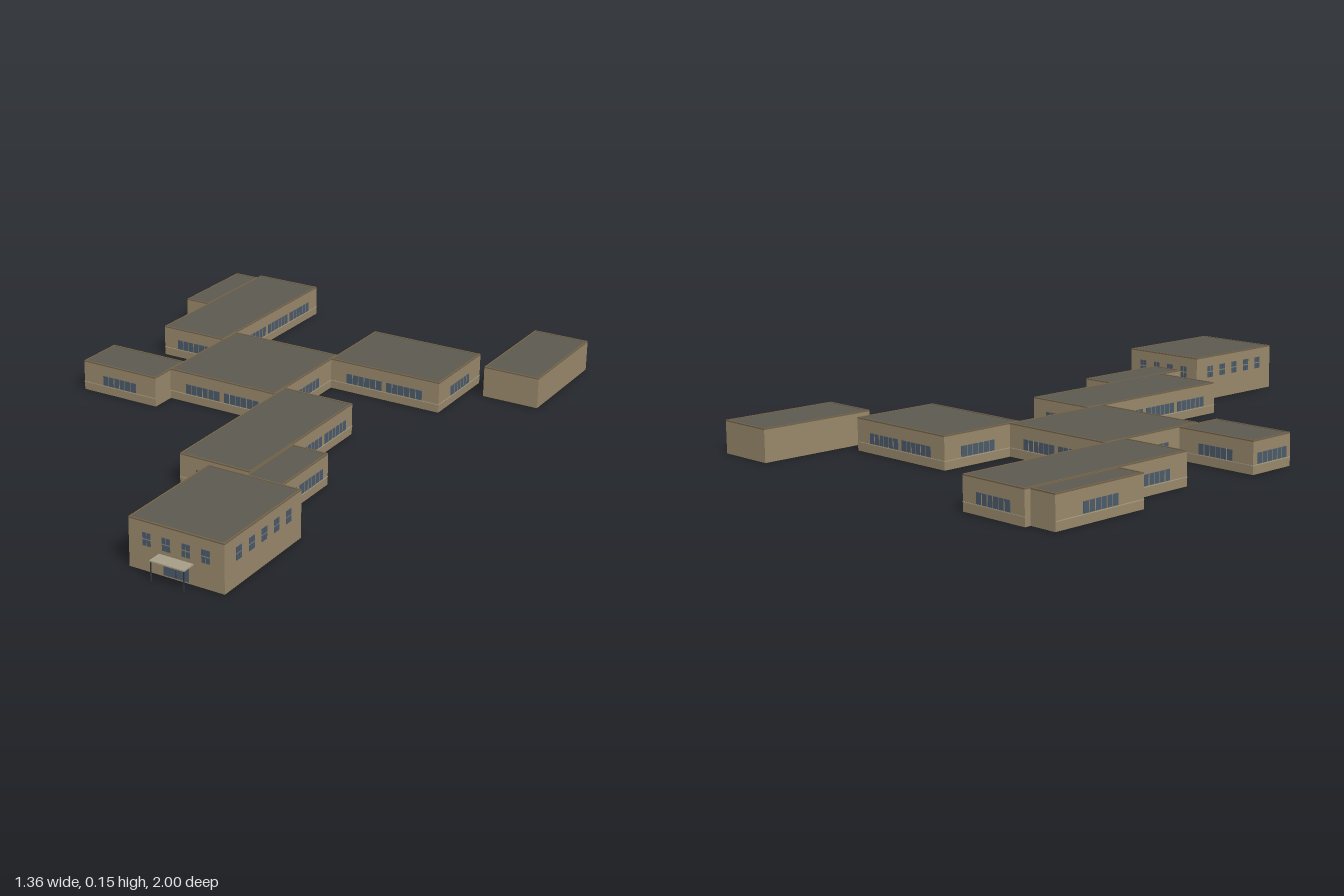
import * as THREE from 'three';

const mat = (name, color, side = THREE.FrontSide) => {
  const m = new THREE.MeshStandardMaterial({ color, side });
  m.name = name;
  return m;
};

export function createModel() {
  const wallMat = mat('tan wall', 0x9a8a6c, THREE.DoubleSide);
  const roofMat = mat('dark roof', 0x5c5a50);
  const copingMat = mat('brown coping', 0x75644a);
  const glassMat = mat('blue glass', 0x4c5b6c);
  const trimMat = mat('light trim', 0xa89f88);
  const darkMat = mat('dark metal', 0x35363a);

  const model = new THREE.Group();
  model.name = 'buildingComplex';

  const box = (parent, name, material, w, h, d, x, y, z) => {
    const m = new THREE.Mesh(new THREE.BoxGeometry(w, h, d), material);
    m.name = name;
    m.position.set(x, y, z);
    parent.add(m);
    return m;
  };

  // Rectangular ring with an open middle, rising from y = 0
  const ring = (w, d, t, h) => {
    const rect = (Kind, a, b) => {
      const s = new Kind();
      s.moveTo(-a, -b).lineTo(a, -b).lineTo(a, b).lineTo(-a, b).closePath();
      return s;
    };
    const shape = rect(THREE.Shape, w / 2, d / 2);
    shape.holes.push(rect(THREE.Path, w / 2 - t, d / 2 - t));
    return new THREE.ExtrudeGeometry(shape, { depth: h, bevelEnabled: false }).rotateX(-Math.PI / 2);
  };

  // Block: walls open below, roof set inside a coping
  const block = (name, x0, x1, z0, z1, h) => {
    const g = new THREE.Group();
    g.name = name;
    g.position.set((x0 + x1) / 2, 0, (z0 + z1) / 2);
    const w = x1 - x0, d = z1 - z0;
    const walls = new THREE.Mesh(ring(w, d, 0.004, h - 0.004), wallMat);
    walls.name = 'walls';
    const coping = new THREE.Mesh(ring(w, d, 0.005, 0.004), copingMat);
    coping.name = 'coping';
    coping.position.y = h - 0.004;
    g.add(walls, coping);
    box(g, 'roof', roofMat, w - 0.009, 0.006, d - 0.009, 0, h - 0.005, 0);
    model.add(g);
  };

  // Group on a wall: local x runs along it and local z points outward
  const turns = { '+z': 0, '+x': Math.PI / 2, '-z': Math.PI, '-x': -Math.PI / 2 };
  const face = (name, side, plane, a, b) => {
    const g = new THREE.Group();
    g.name = name;
    const mid = (a + b) / 2;
    if (side[1] === 'z') g.position.set(mid, 0, plane);
    else g.position.set(plane, 0, mid);
    g.rotation.y = turns[side];
    model.add(g);
    return g;
  };

  // Row of wide windows above a thin sill line
  const ribbon = (side, plane, a, b) => {
    const g = face('windowRow', side, plane, a, b);
    const len = b - a, n = Math.max(1, Math.floor(len / 0.165));
    box(g, 'sillLine', trimMat, len, 0.002, 0.002, 0, 0.027, 0.0005);
    for (let i = 0; i < n; i++) {
      const x = (i - (n - 1) / 2) * 0.145;
      box(g, 'window', glassMat, 0.128, 0.032, 0.003, x, 0.046, 0.0005);
      for (let k = -2; k <= 2; k++)
        box(g, 'mullion', wallMat, 0.0022, 0.032, 0.004, x + k * 0.0213, 0.046, 0.0005);
    }
  };

  // Row of small four-pane windows
  const paneRow = (side, plane, a, b, n) => {
    const g = face('paneWindowRow', side, plane, a, b);
    for (let i = 0; i < n; i++)
      for (const sx of [-1, 1])
        for (const sy of [-1, 1])
          box(g, 'pane', glassMat, 0.0115, 0.0175, 0.003,
            (i - (n - 1) / 2) * 0.0622 + sx * 0.007, 0.095 + sy * 0.0105, 0.0005);
  };

  block('backLeftAnnex', -0.68, -0.59, -0.965, -0.64, 0.1);
  block('backLeftWing', -0.59, -0.355, -0.985, -0.37, 0.102);
  block('centralHall', -0.355, 0.038, -0.45, -0.06, 0.102);
  block('sideWing', -0.635, -0.355, -0.14, 0.025, 0.1);
  block('backRightWing', 0.038, 0.43, -0.705, -0.41, 0.102);
  block('detachedBlock', 0.49, 0.68, -1, -0.61, 0.102);
  block('frontWing', 0.038, 0.28, -0.12, 0.465, 0.102);
  block('linkBlock', 0.28, 0.4, 0.235, 0.57, 0.1);
  block('entranceBlock', 0.207, 0.51, 0.57, 0.955, 0.148);

  // Exposed wall stretches with windows: side, plane, start, end
  [
    ['-x', -0.68, -0.965, -0.64],
    ['-z', -0.985, -0.59, -0.355], ['-x', -0.59, -0.64, -0.37],
    ['+x', -0.355, -0.985, -0.45], ['+z', -0.37, -0.59, -0.355],
    ['-z', -0.45, -0.355, 0.038], ['-x', -0.355, -0.37, -0.14],
    ['+z', -0.06, -0.355, 0.038], ['+x', 0.038, -0.41, -0.12],
    ['-z', -0.14, -0.635, -0.355], ['+z', 0.025, -0.635, -0.355],
    ['-x', -0.635, -0.14, 0.025],
    ['-z', -0.705, 0.038, 0.43], ['+z', -0.41, 0.038, 0.43],
    ['+x', 0.43, -0.705, -0.41], ['-x', 0.038, -0.705, -0.45],
    ['-z', -0.12, 0.038, 0.28], ['+x', 0.28, -0.12, 0.235],
    ['-x', 0.038, -0.06, 0.465], ['+z', 0.465, 0.038, 0.28],
    ['+x', 0.4, 0.235, 0.57],
  ].forEach((r) => ribbon(...r));

  paneRow('+z', 0.955, 0.207, 0.51, 4);
  paneRow('-z', 0.57, 0.207, 0.51, 4);
  paneRow('+x', 0.51, 0.57, 0.955, 5);
  paneRow('-x', 0.207, 0.57, 0.955, 5);

  // Entrance: glazed doors under a canopy on two posts
  const entrance = face('entrance', '+z', 0.955, 0.207, 0.51);
  box(entrance, 'doorGlass', glassMat, 0.08, 0.052, 0.003, 0, 0.031, 0.0005);
  box(entrance, 'doorMullion', darkMat, 0.0015, 0.052, 0.004, 0, 0.031, 0.0005);
  box(entrance, 'canopy', trimMat, 0.11, 0.004, 0.045, 0, 0.061, 0.0225);
  for (const s of [-1, 1])
    box(entrance, 'canopyPost', darkMat, 0.003, 0.059, 0.003, s * 0.052, 0.0295, 0.042);

  return model;
}
